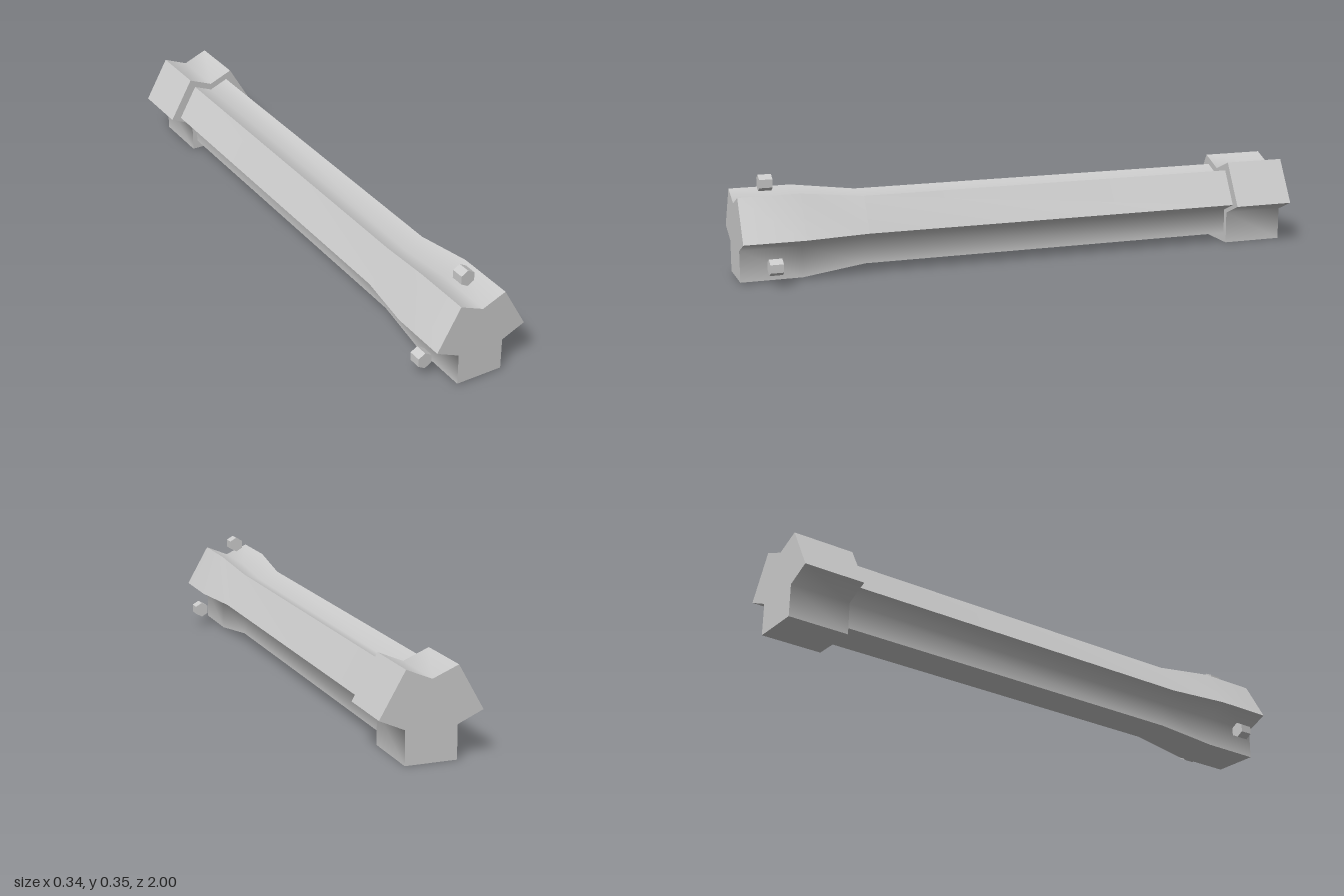
import * as THREE from 'three';
import { toCreasedNormals } from 'three/addons/utils/BufferGeometryUtils.js';

const AXIS_Y = 0.149;

// Three-armed cross-section, counter-clockwise around the axis
const half = [[-0.086, 0.149], [-0.171, 0.001], [-0.086, -0.037], [-0.086, -0.149]];
const outline = [[0, 0.113], ...half, ...half.map(([x, y]) => [-x, y]).reverse()]
  .map(([x, y]) => new THREE.Vector2(x, y));

// Closed loft of the cross-section through [z, scale] stations, back to front
function loft(stations) {
  const n = outline.length;
  const positions = [];
  const index = [];
  for (const [z, s] of stations) {
    for (const p of outline) positions.push(p.x * s, p.y * s, z);
  }
  for (let r = 0; r < stations.length - 1; r++) {
    for (let i = 0; i < n; i++) {
      const a = r * n + i;
      const b = r * n + (i + 1) % n;
      index.push(a, b, b + n, a, b + n, a + n);
    }
  }
  const last = (stations.length - 1) * n;
  for (const [a, b, c] of THREE.ShapeUtils.triangulateShape(outline, [])) {
    index.push(c, b, a, last + a, last + b, last + c);
  }
  const geometry = new THREE.BufferGeometry();
  geometry.setAttribute('position', new THREE.Float32BufferAttribute(positions, 3));
  geometry.setIndex(index);
  // Smooth in the grooves and along the taper, sharp at the outer edges
  return toCreasedNormals(geometry, 1.25);
}

export function createModel() {
  const group = new THREE.Group();
  const material = new THREE.MeshStandardMaterial({ color: 0xcccccc });
  const add = (name, geometry, x, y, z) => {
    const mesh = new THREE.Mesh(geometry, material);
    mesh.name = name;
    mesh.position.set(x, y, z);
    group.add(mesh);
    return mesh;
  };

  // Grooved shaft flaring out towards the front
  add('shaft', loft([[-0.785, 0.785], [0.57, 0.785], [0.79, 0.96], [1, 0.96]]), 0, AXIS_Y, 0);

  // Wider block at the back end
  add('rearHead', loft([[-1, 1], [-0.785, 1]]), 0, AXIS_Y, 0);

  // Small hexagonal studs, one above each groove
  const stud = new THREE.CylinderGeometry(0.028, 0.028, 0.045, 6).toNonIndexed();
  stud.rotateX(Math.PI / 2);
  stud.computeVertexNormals();
  add('topStud', stud, 0, 0.321, 0.893);
  add('leftStud', stud, 0.148, 0.065, 0.893);
  add('rightStud', stud, -0.148, 0.065, 0.893);

  return group;
}
